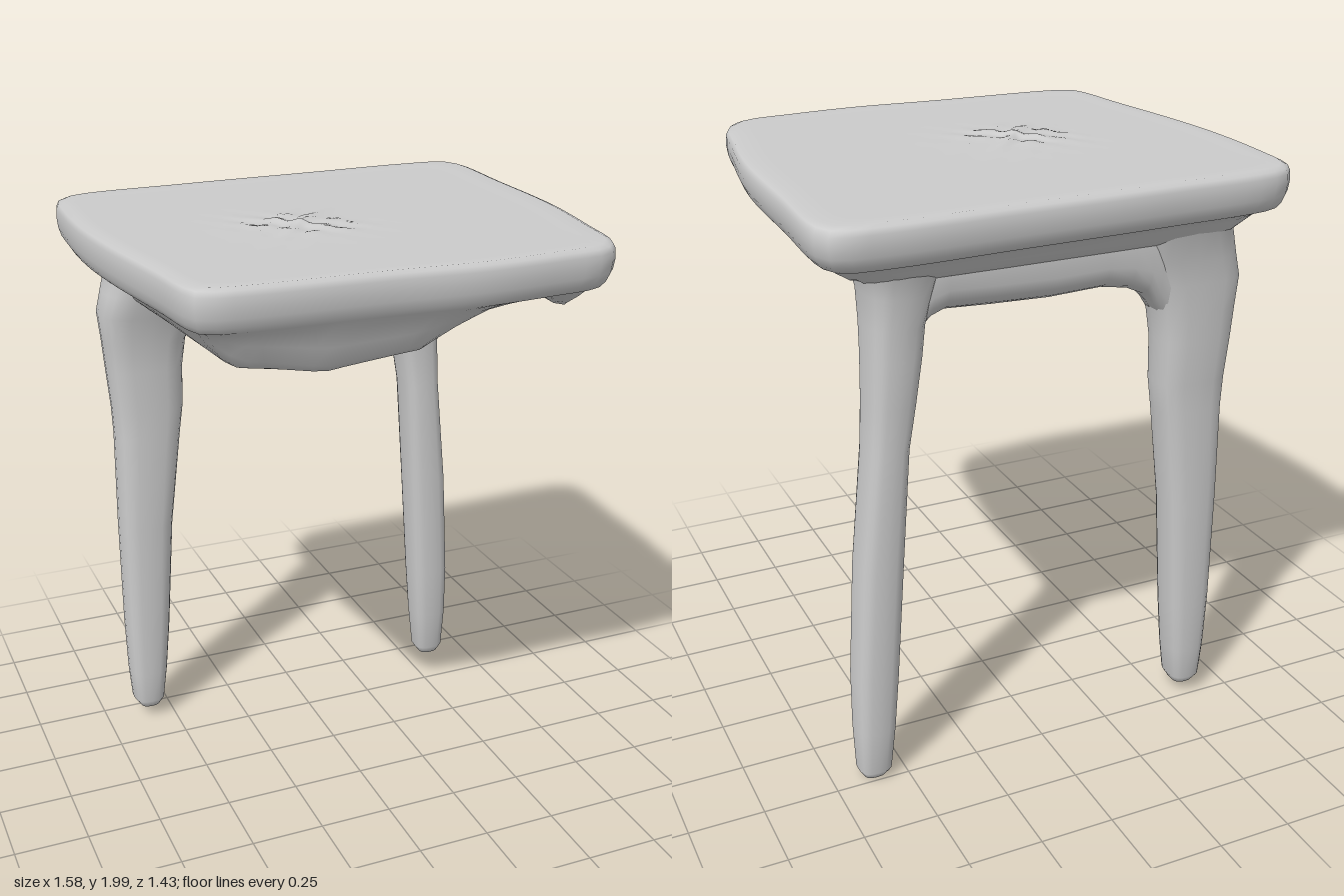
import * as THREE from 'three';

const material = new THREE.MeshStandardMaterial({ color: 0xcccccc });

// Skin a stack of closed rings (arrays of Vector3) with smooth normals
function loft(name, rings) {
  const n = rings[0].length, index = [];
  for (let r = 0; r < rings.length - 1; r++) {
    for (let i = 0; i < n; i++) {
      const a = r * n + i, b = r * n + (i + 1) % n;
      index.push(a, a + n, b, b, a + n, b + n);
    }
  }
  const geometry = new THREE.BufferGeometry().setFromPoints(rings.flat());
  geometry.setIndex(index);
  geometry.computeVertexNormals();
  const mesh = new THREE.Mesh(geometry, material);
  mesh.name = name;
  return mesh;
}

// Rounded-square section, as [u, v] pairs between the given limits
function section(u0, u1, v0, v1, count = 20) {
  const soft = (t) => Math.sign(t) * Math.abs(t) ** 0.7;
  return Array.from({ length: count }, (_, i) => {
    const a = (i / count) * Math.PI * 2;
    return [(u0 + u1) / 2 + soft(Math.cos(a)) * (u1 - u0) / 2,
      (v0 + v1) / 2 + soft(Math.sin(a)) * (v1 - v0) / 2];
  });
}

// Leg rows: y, x from, x to, z from, z to
function leg(name, rows) {
  return loft(name, rows.map(([y, ...box]) =>
    section(...box).map(([x, z]) => new THREE.Vector3(x, y, z))));
}

// Seat outline, clockwise from above
const outline = [
  [-0.765, -0.61], [-0.71, -0.66], [-0.3, -0.69], [0.2, -0.705], [0.6, -0.717], [0.75, -0.7],
  [0.785, -0.65], [0.78, -0.3], [0.765, 0.1], [0.72, 0.4], [0.68, 0.6], [0.62, 0.67],
  [0.45, 0.695], [0.2, 0.712], [-0.1, 0.695], [-0.6, 0.677], [-0.67, 0.655], [-0.695, 0.6],
  [-0.72, 0.4], [-0.77, 0.05], [-0.79, -0.2], [-0.785, -0.45],
];

// Aprons moulded under the seat: start x z, end x z, start and end depth, width
const ridges = [
  [-0.47, 0.52, -0.27, 0.55, 0.13, 0.16, 0.13],
  [-0.27, 0.55, 0, 0.56, 0.16, 0.13, 0.13],
  [0, 0.56, 0.25, 0.57, 0.13, 0.02, 0.13],
  [-0.51, -0.35, -0.51, 0.05, 0.18, 0.14, 0.13],
  [-0.51, 0.05, -0.48, 0.52, 0.14, 0.13, 0.13],
  [0.62, 0.48, 0.62, -0.1, 0.09, 0.07, 0.12],
  [0.62, -0.1, 0.6, -0.45, 0.07, 0.08, 0.12],
  [-0.53, -0.45, 0.52, -0.45, 0.1, 0.1, 0.16],
];

function underside(x, z, s) {
  let drop = 0;
  for (const [ax, az, bx, bz, d0, d1, width] of ridges) {
    const dx = bx - ax, dz = bz - az;
    const t = THREE.MathUtils.clamp(((x - ax) * dx + (z - az) * dz) / (dx * dx + dz * dz), 0, 1);
    const d = Math.hypot(x - ax - t * dx, z - az - t * dz) / width;
    drop = Math.max(drop, (d0 + (d1 - d0) * t) * Math.exp(-d * d * d));
  }
  return 1.82 + 0.028 * s ** 8 - drop * (1 - THREE.MathUtils.smoothstep(s, 0.84, 0.97));
}

function seat() {
  const cx = -0.14, cz = 0.05;
  const curve = new THREE.CatmullRomCurve3(
    outline.map(([x, z]) => new THREE.Vector3(x, 0, z)), true, 'centripetal');
  const edge = curve.getSpacedPoints(96).slice(0, 96);
  const ring = (s, height) => edge.map((p) => {
    const x = cx + (p.x - cx) * s, z = cz + (p.z - cz) * s;
    return new THREE.Vector3(x, height(x, z, s), z);
  });
  const rings = [];
  // Underside, from the centre out
  for (let i = 0; i <= 28; i++) rings.push(ring(0.001 + 0.964 * i / 28, underside));
  // Rounded rim
  for (const [s, y] of [[0.983, 1.86], [0.995, 1.887], [1, 1.92], [0.998, 1.95], [0.988, 1.967], [0.965, 1.975]]) {
    rings.push(ring(s, () => y));
  }
  // Top, with a small crumple near the middle
  for (let i = 13; i >= 0; i--) {
    rings.push(ring(0.001 + 0.9 * (i / 13) ** 1.6, (x, z) => {
      const d = Math.hypot(x - cx, z - cz) / 0.14;
      return 1.974 + Math.exp(-d * d) * (0.008 + 0.012 * Math.sin(x * 55) * Math.cos(z * 48));
    }));
  }
  return loft('seat', rings);
}

// Back apron rows: x, bottom y, back z, front z
function apron() {
  const rows = [
    [-0.6, 1.7, -0.47, -0.4], [-0.56, 1.6, -0.53, -0.36], [-0.45, 1.45, -0.54, -0.36],
    [-0.4, 1.48, -0.54, -0.35], [-0.37, 1.53, -0.545, -0.345], [-0.33, 1.57, -0.55, -0.34],
    [-0.27, 1.597, -0.55, -0.33], [-0.18, 1.612, -0.55, -0.32], [0, 1.605, -0.55, -0.32],
    [0.2, 1.612, -0.55, -0.32], [0.35, 1.62, -0.55, -0.32], [0.4, 1.6, -0.55, -0.33],
    [0.46, 1.54, -0.545, -0.35], [0.52, 1.6, -0.54, -0.36], [0.57, 1.7, -0.5, -0.38],
  ];
  return loft('backApron', rows.map(([x, y, z0, z1]) =>
    section(z0, z1, y, 1.9).map(([z, h]) => new THREE.Vector3(x, h, z))));
}

export function createModel() {
  const group = new THREE.Group();
  group.name = 'stool';
  group.add(seat(), apron());

  group.add(leg('rightLeg', [
    [0.045, -0.589, -0.587, -0.44, -0.438], [0.05, -0.625, -0.55, -0.485, -0.395],
    [0.08, -0.645, -0.532, -0.505, -0.378], [0.2, -0.653, -0.515, -0.515, -0.373],
    [0.4, -0.657, -0.495, -0.525, -0.37], [0.8, -0.657, -0.465, -0.53, -0.368],
    [1.15, -0.652, -0.42, -0.535, -0.366], [1.25, -0.655, -0.405, -0.54, -0.365],
    [1.4, -0.667, -0.4, -0.548, -0.362], [1.5, -0.675, -0.385, -0.552, -0.355],
    [1.6, -0.686, -0.36, -0.558, -0.335], [1.68, -0.668, -0.32, -0.565, -0.31],
    [1.78, -0.64, -0.28, -0.585, -0.29], [1.88, -0.65, -0.26, -0.62, -0.27],
  ]));
  group.add(leg('leftLeg', [
    [0.006, 0.604, 0.606, -0.456, -0.454], [0.01, 0.57, 0.645, -0.49, -0.42],
    [0.04, 0.55, 0.663, -0.51, -0.405], [0.2, 0.532, 0.667, -0.52, -0.385],
    [0.4, 0.516, 0.665, -0.526, -0.375], [0.8, 0.49, 0.642, -0.53, -0.37],
    [1.2, 0.465, 0.602, -0.536, -0.367], [1.35, 0.442, 0.596, -0.545, -0.365],
    [1.5, 0.42, 0.592, -0.552, -0.355], [1.6, 0.41, 0.59, -0.558, -0.34],
    [1.7, 0.38, 0.592, -0.568, -0.32], [1.78, 0.36, 0.61, -0.585, -0.3],
    [1.88, 0.34, 0.65, -0.62, -0.28],
  ]));
  return group;
}
